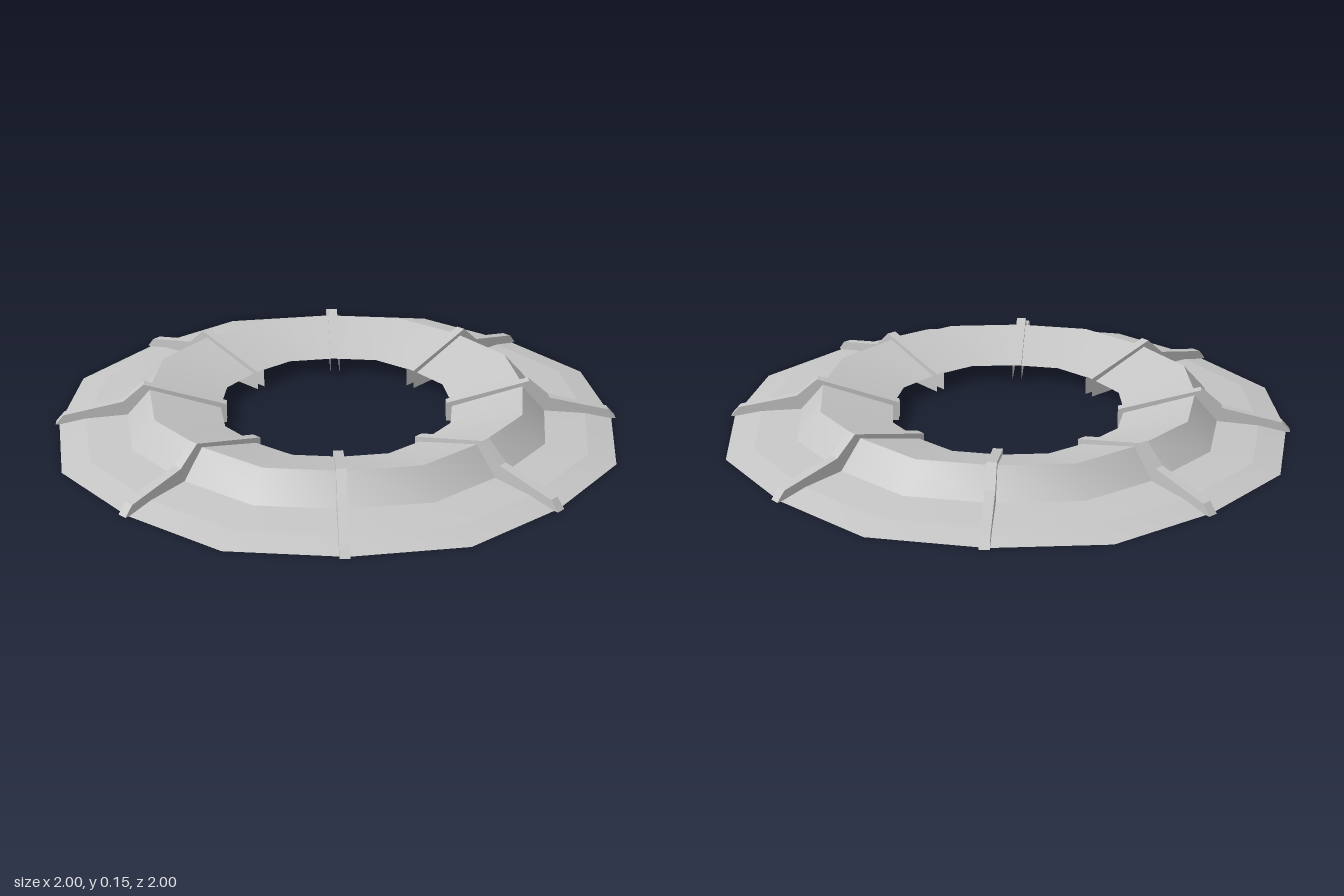
import * as THREE from 'three';

const SIDES = 16;
const RIBS = 8;
const RIB_WIDTH = 0.034;
const RIB_SHIFT = 0.008;

// [radius, height] from the outer rim to the hole
const ringProfile = [[0.985, 0], [0.889, 0.022], [0.742, 0.035], [0.66, 0.13], [0.412, 0.057]];
// [radius, height] along the top of a rib, outer tip to inner end
const ribProfile = [[0.998, 0], [0.968, 0.035], [0.755, 0.085], [0.68, 0.15], [0.39, 0.07]];

// Grid surface: rows of points of equal length; corners run so the upper side is the front
function grid(rows) {
  const n = rows[0].length;
  const index = [];
  for (let i = 0; i < rows.length - 1; i++) {
    for (let j = 0; j < n - 1; j++) {
      const a = i * n + j, b = a + 1, c = a + n, d = c + 1;
      index.push(a, b, c, b, d, c);
    }
  }
  const geometry = new THREE.BufferGeometry();
  geometry.setAttribute('position', new THREE.Float32BufferAttribute(rows.flat(2), 3));
  geometry.setIndex(index);
  return geometry;
}

// One loop of the ring; every second corner sits slightly further out
function loop([radius, y]) {
  const points = [];
  for (let j = 0; j <= SIDES; j++) {
    const angle = (j / SIDES) * Math.PI * 2;
    const r = radius * (j % 2 ? 1.029 : 1);
    points.push([r * Math.cos(angle), y, -r * Math.sin(angle)]);
  }
  return points;
}

// Band between two loops, smooth around the ring with sharp edges to its neighbours
function bandGeometry(outer, inner) {
  const geometry = grid([loop(outer), loop(inner)]);
  geometry.computeVertexNormals();
  // Match the normals across the seam
  const normal = geometry.attributes.normal;
  const a = new THREE.Vector3(), b = new THREE.Vector3();
  for (const start of [0, SIDES + 1]) {
    a.fromBufferAttribute(normal, start);
    b.fromBufferAttribute(normal, start + SIDES);
    a.add(b).normalize();
    normal.setXYZ(start, a.x, a.y, a.z);
    normal.setXYZ(start + SIDES, a.x, a.y, a.z);
  }
  return geometry;
}

export function createModel() {
  const model = new THREE.Group();
  model.name = 'ribbedRing';
  const grey = new THREE.MeshStandardMaterial({ color: 0xc6c6c6, side: THREE.DoubleSide });
  grey.name = 'light grey';

  const add = (parent, geometry, name) => {
    const mesh = new THREE.Mesh(geometry, grey);
    mesh.name = name;
    parent.add(mesh);
    return mesh;
  };

  // Ring shell, open underneath
  const ring = new THREE.Group();
  ring.name = 'ring';
  model.add(ring);
  ['outerRim', 'outerSkirt', 'raisedWall', 'innerSlope'].forEach((name, i) => {
    add(ring, bandGeometry(ringProfile[i], ringProfile[i + 1]), name);
  });

  // Rib: a bent top strip and two side plates, open at the bottom and inner end
  const half = RIB_WIDTH / 2;
  const strip = grid(ribProfile.map(([r, y]) => [[r, y, half], [r, y, -half]])).toNonIndexed();
  strip.computeVertexNormals();
  const plate = new THREE.ShapeGeometry(new THREE.Shape(
    [...ribProfile, [0.39, 0]].map(([r, y]) => new THREE.Vector2(r, y))));

  for (let i = 0; i < RIBS; i++) {
    const rib = new THREE.Group();
    rib.name = 'rib' + (i + 1);
    rib.rotation.y = (i / RIBS) * Math.PI * 2;
    add(rib, strip, 'ribTop').position.z = RIB_SHIFT;
    add(rib, plate, 'ribSide').position.z = RIB_SHIFT + half;
    const back = add(rib, plate, 'ribSide');
    back.position.z = RIB_SHIFT - half;
    back.scale.z = -1;
    model.add(rib);
  }
  return model;
}
